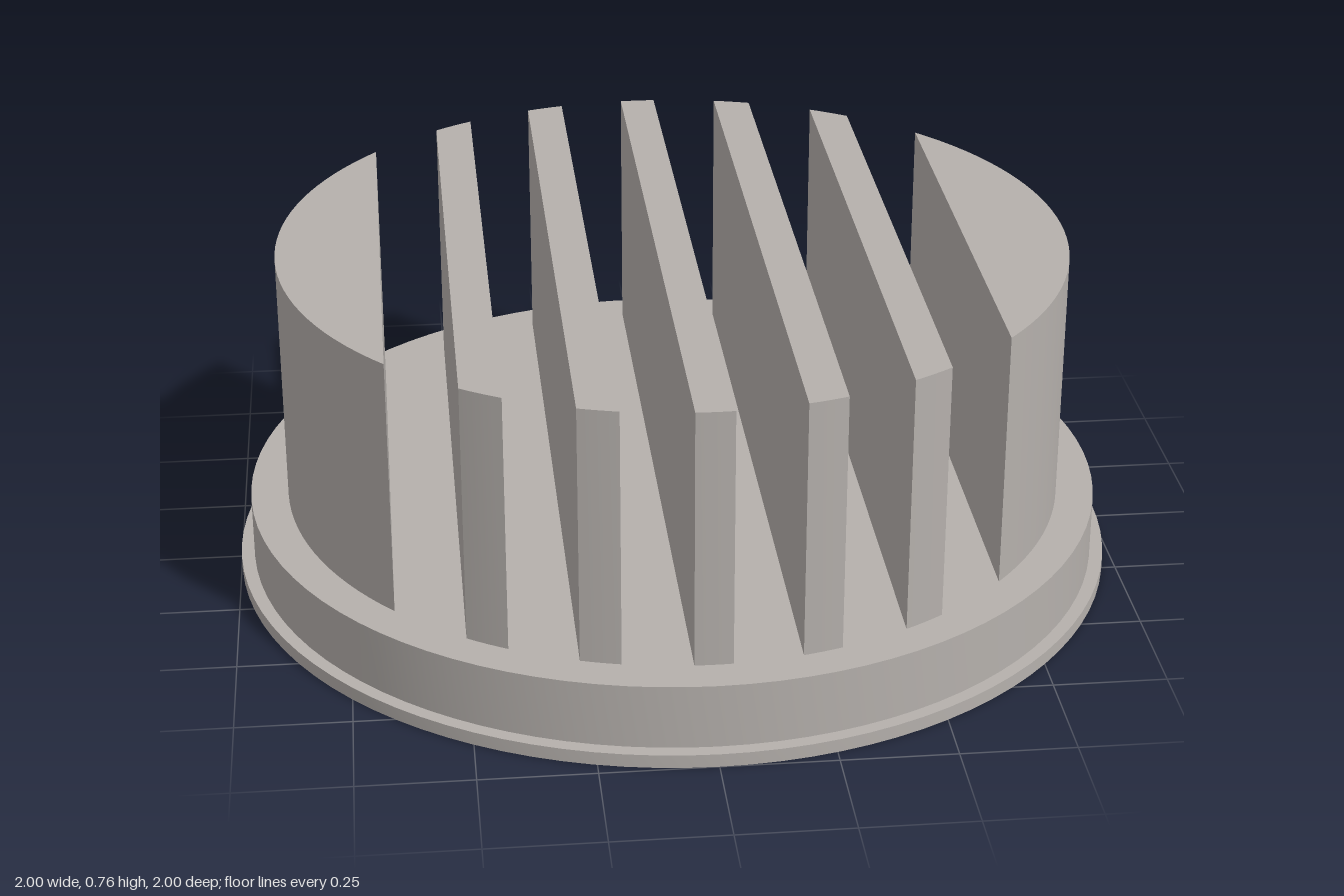
import * as THREE from 'three';
import { toCreasedNormals } from 'three/addons/utils/BufferGeometryUtils.js';

const FIN_RADIUS = 0.885;
const BASE_TOP = 0.175;
const FIN_TOP = 0.757;

// Upright slice of a cylinder between x0 and x1, with rounded ends.
function sliceGeometry(x0, x1, steps) {
  const a0 = Math.acos(x0 / FIN_RADIUS);
  const a1 = Math.acos(Math.min(1, x1 / FIN_RADIUS));
  const points = [];
  const add = (a) => points.push(new THREE.Vector2(FIN_RADIUS * Math.cos(a), FIN_RADIUS * Math.sin(a)));
  for (let i = 0; i <= steps; i++) add(a1 + ((a0 - a1) * i) / steps);
  const last = a1 === 0 ? steps - 1 : steps; // avoid doubling the tip point
  for (let i = 0; i <= last; i++) add(-a0 + ((a0 - a1) * i) / steps);
  const geometry = new THREE.ExtrudeGeometry(new THREE.Shape(points), {
    depth: FIN_TOP - BASE_TOP,
    bevelEnabled: false,
  });
  geometry.rotateX(-Math.PI / 2);
  geometry.translate(0, BASE_TOP, 0);
  return toCreasedNormals(geometry, 0.4);
}

export function createModel() {
  const group = new THREE.Group();
  const metal = new THREE.MeshStandardMaterial({ color: 0xb5b0ac });
  metal.name = 'warm grey metal';

  const addPart = (name, geometry) => {
    const mesh = new THREE.Mesh(geometry, metal);
    mesh.name = name;
    group.add(mesh);
    return mesh;
  };

  // Stepped round base with a thin flange at the bottom
  const profile = [
    [0, 0], [1, 0], [1, 0.03], [0.97, 0.03], [0.97, BASE_TOP], [0, BASE_TOP],
  ].map(([r, y]) => new THREE.Vector2(r, y));
  addPart('base', toCreasedNormals(new THREE.LatheGeometry(profile, 96), 0.5));

  // Centre fin
  addPart('centreFin', sliceGeometry(-0.041, 0.041, 4));

  // Side fins and the solid end segments, mirrored left and right
  const slices = [
    ['innerFin', 0.19, 0.275, 4],
    ['outerFin', 0.42, 0.505, 4],
    ['endSegment', 0.653, FIN_RADIUS, 16],
  ];
  for (const [name, x0, x1, steps] of slices) {
    const geometry = sliceGeometry(x0, x1, steps);
    addPart(name + 'Left', geometry);
    addPart(name + 'Right', geometry).rotation.y = Math.PI;
  }
  return group;
}
